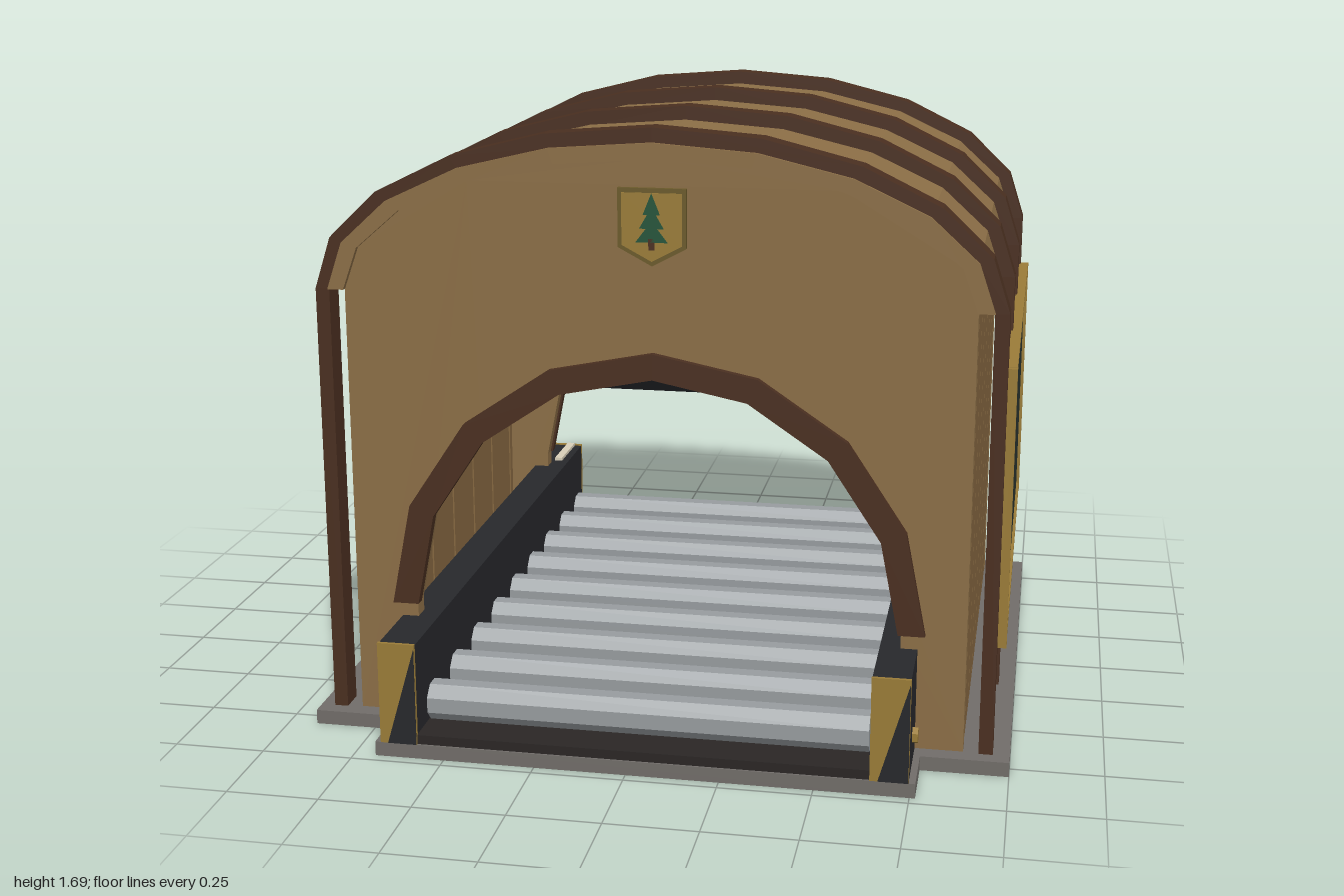
import * as THREE from 'three';

const CX = 0.037; // centre line of the tunnel
const mat = (color) => new THREE.MeshStandardMaterial({ color, flatShading: true });
const M = {
  wood: mat(0x8b6e46), plank: mat(0x856740), seam: mat(0x4f3a24), rib: mat(0x4a2f20),
  gold: mat(0x9a7c38), dark: mat(0x27282c), bed: mat(0x2a2625), steel: mat(0x979c9f),
  stone: mat(0x716d69), slate: mat(0x29322f), cream: mat(0xd8cfb8), green: mat(0x24543a),
};

function add(parent, name, geo, material, x = 0, y = 0, z = 0) {
  const mesh = new THREE.Mesh(geo, material);
  mesh.name = name;
  mesh.position.set(x, y, z);
  parent.add(mesh);
  return mesh;
}
// box given by its extents
const box = (p, name, m, x0, x1, y0, y1, z0, z1) =>
  add(p, name, new THREE.BoxGeometry(x1 - x0, y1 - y0, z1 - z0), m,
    (x0 + x1) / 2, (y0 + y1) / 2, (z0 + z1) / 2);
// prism with its axis along x or z
function rod(p, name, m, r, len, sides, axis, x, y, z) {
  const g = new THREE.CylinderGeometry(r, r, len, sides);
  g.rotateY(Math.PI / sides);
  if (axis === 'x') g.rotateZ(Math.PI / 2); else g.rotateX(Math.PI / 2);
  return add(p, name, g, m, x, y, z);
}
// half ellipse from +x over the top to -x
const arc = (rx, ry, cy, n) => Array.from({ length: n + 1 }, (_, i) => {
  const a = (Math.PI * i) / n;
  return new THREE.Vector2(rx * Math.cos(a), cy + ry * Math.sin(a));
});
const legs = (pts, y) => [
  new THREE.Vector2(pts[0].x, y), ...pts, new THREE.Vector2(pts[pts.length - 1].x, y)];
const band = (outer, inner) => new THREE.Shape([...outer, ...[...inner].reverse()]);
const poly = (list) => new THREE.Shape(list.map(([x, y]) => new THREE.Vector2(x, y)));
function slab(p, name, m, shape, depth, x, y, z) {
  return add(p, name, new THREE.ExtrudeGeometry(shape, { depth, bevelEnabled: false }), m, x, y, z);
}

function badge(parent) {
  const g = new THREE.Group();
  g.name = 'treeBadge';
  const shield = (s) => poly([[-0.09 * s, 0.1 * s], [-0.09 * s, -0.055 * s], [0, -0.103 * s],
    [0.09 * s, -0.055 * s], [0.09 * s, 0.1 * s]]);
  slab(g, 'badgeRim', mat(0x6b5a2a), shield(1), 0.012, 0, 0, 0);
  slab(g, 'badgeFace', M.gold, shield(0.88), 0.015, 0, 0, 0);
  box(g, 'treeTrunk', M.rib, -0.008, 0.008, -0.06, -0.03, 0.01, 0.018);
  for (let i = 0; i < 3; i++) {
    const w = 0.042 - i * 0.01, y = -0.04 + i * 0.036;
    slab(g, 'treeTier', M.green, poly([[-w, y], [w, y], [0, y + 0.055]]), 0.018 + i * 0.001, 0, 0, 0);
  }
  parent.add(g);
  return g;
}

export function createModel() {
  const root = new THREE.Group();
  root.name = 'tunnelMachine';

  // cross-shaped floor slab
  const plan = poly([[-0.92, -0.8], [-0.69, -0.8], [-0.69, -0.97], [0.765, -0.97], [0.765, -0.8], [1, -0.8],
    [1, 0.8], [0.765, 0.8], [0.765, 0.97], [-0.69, 0.97], [-0.69, 0.8], [-0.92, 0.8]]);
  slab(root, 'floorSlab', M.stone, plan, 0.04, 0, 0, 0).rotation.x = -Math.PI / 2;

  const body = new THREE.Group();
  body.name = 'tunnelBody';
  body.position.x = CX;
  root.add(body);

  // vaulted roof
  slab(body, 'roof', M.wood, band(arc(0.882, 0.412, 1.24, 10), arc(0.838, 0.37, 1.24, 10)),
    1.534, 0, 0, -0.767);

  // ribs over roof and sides
  const ribShape = band(legs(arc(0.918, 0.45, 1.24, 10), 0.04), legs(arc(0.88, 0.41, 1.24, 10), 0.04));
  for (const z of [-0.722, -0.243, 0.243, 0.722])
    slab(body, 'rib', M.rib, ribShape, 0.07, 0, 0, z - 0.035);

  // end walls with arched openings, trims and badges
  const wall = band(legs(arc(0.839, 0.371, 1.24, 10), 0.04), legs(arc(0.665, 0.67, 0.365, 8), 0.04));
  const trim = band(arc(0.73, 0.735, 0.365, 8), arc(0.658, 0.665, 0.365, 8));
  for (const s of [1, -1]) {
    const end = new THREE.Group();
    end.name = s > 0 ? 'frontEnd' : 'backEnd';
    if (s < 0) end.rotation.y = Math.PI;
    body.add(end);
    slab(end, 'endWall', M.wood, wall, 0.05, 0, 0, 0.7);
    slab(end, 'archTrim', M.rib, trim, 0.03, 0, 0, 0.74);
    badge(end).position.set(0, 1.435, 0.75);
    if (s < 0) {
      // gauge panel
      box(end, 'gaugePanel', M.dark, -0.43, 0.43, 1.075, 1.25, 0.74, 0.762);
      for (let i = -1; i <= 1; i++) {
        rod(end, 'gaugeRim', M.gold, 0.078, 0.02, 16, 'z', i * 0.31, 1.163, 0.765);
        rod(end, 'gaugeFace', M.cream, 0.064, 0.02, 16, 'z', i * 0.31, 1.163, 0.768);
        const n = add(end, 'gaugeNeedle', new THREE.BoxGeometry(0.012, 0.065, 0.004), M.dark,
          i * 0.31, 1.163, 0.779);
        n.geometry.translate(0, 0.022, 0);
        n.rotation.z = [0, -0.7, 0.9][i + 1];
        rod(end, 'gaugePin', M.dark, 0.012, 0.006, 8, 'z', i * 0.31, 1.163, 0.779);
      }
    }
  }

  // plank side walls
  for (const s of [-1, 1]) {
    const x = (a, b) => (s > 0 ? [a, b] : [-b, -a]);
    for (let i = 0; i < 8; i++) {
      const z0 = Math.max(-0.7, -0.88 + i * 0.22), z1 = Math.min(0.7, -0.66 + i * 0.22);
      box(body, 'sidePlank', M.plank, ...x(0.79, 0.838), 0.04, 1.245, z0 + 0.007, z1 - 0.007);
    }
    box(body, 'plankSeams', M.seam, ...x(0.795, 0.83), 0.04, 1.245, -0.7, 0.7);
  }

  // chalkboard on the left side
  box(root, 'boardPanel', M.slate, 0.952, 0.97, 0.35, 1.07, -0.7, 0.7);
  for (const s of [-1, 1]) {
    const z = 0.708 * s, y = 0.71 + 0.37 * s;
    box(root, 'boardFrameSide', M.gold, 0.95, 0.979, 0.33, 1.09, z - 0.012, z + 0.012);
    box(root, 'boardFrameRail', M.gold, 0.95, 0.978, y - 0.011, y + 0.011, -0.7, 0.7);
  }

  // hand wheel on the right side
  rod(root, 'handWheel', M.rib, 0.2, 0.06, 12, 'x', -0.915, 0.635, 0);
  rod(root, 'wheelHub', M.gold, 0.055, 0.03, 6, 'x', -0.957, 0.635, 0);
  rod(root, 'wheelHandle', M.gold, 0.017, 0.15, 6, 'z', -0.984, 0.785, 0.125);

  // conveyor bed, rails and rollers
  box(root, 'conveyorBed', M.bed, CX - 0.61, CX + 0.61, 0.038, 0.066, -0.965, 0.965);
  for (const s of [-1, 1]) {
    const x = CX + s * 0.66;
    box(root, 'conveyorRail', M.dark, x - 0.05, x + 0.05, 0.04, 0.322, -0.962, 0.962);
    for (const e of [-1, 1]) {
      box(root, 'railEndPlate', M.gold, x - 0.051, x + 0.051, 0.04, 0.326, e * 0.966 - 0.005, e * 0.966 + 0.005);
      // dark half of each end plate
      slab(root, 'railEndGusset', M.dark, poly([[0.05, 0.315], [0.05, 0.04], [-0.03, 0.04]]), 0.002,
        x, 0, e > 0 ? 0.97 : -0.972);
      rod(root, 'railBolt', M.gold, 0.022, 0.02, 6, 'x', x + s * 0.055, 0.125, e * 0.855);
    }
    box(root, 'railStrip', M.cream, x + 0.002, x + 0.027, 0.318, 0.332, -0.96, -0.77);
  }
  for (let i = 0; i < 9; i++)
    rod(root, 'conveyorRoller', M.steel, 0.055, 1.2, 8, 'x', CX, 0.125, -0.85 + i * 0.2125);

  // overhead drums inside the tunnel
  for (const z of [-0.22, 0, 0.22]) {
    const mid = z === 0, r = mid ? 0.1 : 0.12, y = mid ? 0.935 : 0.98;
    rod(root, 'overheadDrum', mid ? M.steel : M.dark, r, 1.42, 8, 'x', CX, y, z);
    for (const s of [-1, 1])
      rod(root, 'drumCap', M.gold, r * 0.98, 0.04, 8, 'x', CX + s * 0.73, y, z);
  }
  return root;
}
